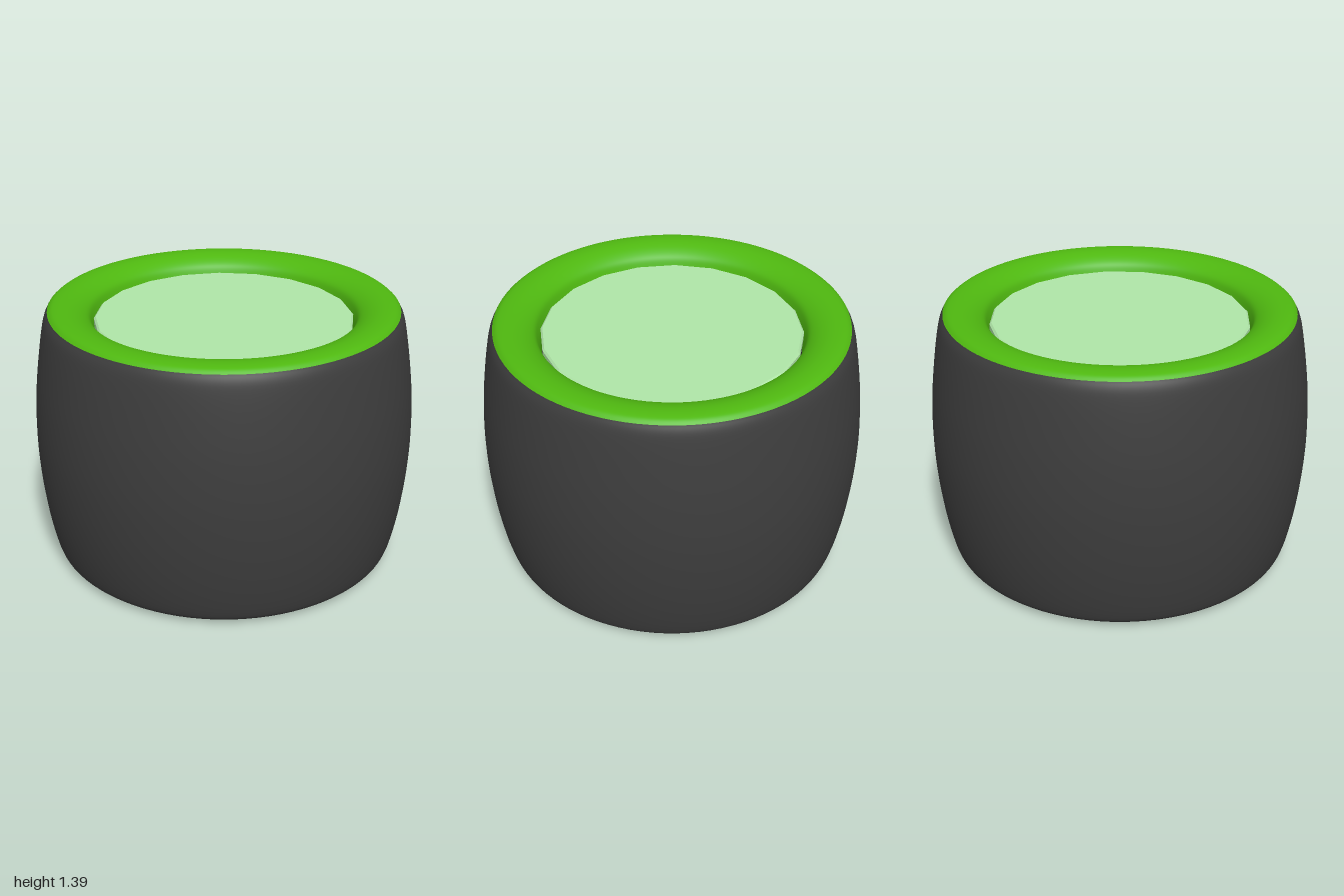
import * as THREE from 'three';

const SEGMENTS = 96;

// Smooth lathe through a few [radius, height] profile points.
function turned(name, points, samples, color) {
  const curve = new THREE.SplineCurve(points.map(([r, y]) => new THREE.Vector2(r, y)));
  const mesh = new THREE.Mesh(
    new THREE.LatheGeometry(curve.getPoints(samples), SEGMENTS),
    new THREE.MeshStandardMaterial({ color, side: THREE.DoubleSide })
  );
  mesh.name = name;
  return mesh;
}

export function createModel() {
  const model = new THREE.Group();
  model.name = 'barrelRoller';

  const dark = 0x3d3d3d;
  const green = 0x4fb810;

  // Bulging outer shell with a rounded bottom edge
  model.add(turned('outerShell', [
    [0.67, 0], [0.76, 0], [0.84, 0.005], [0.9, 0.025], [0.93, 0.08],
    [0.965, 0.25], [0.99, 0.46], [1, 0.69], [0.99, 0.92], [0.965, 1.13],
    [0.935, 1.3], [0.91, 1.36],
  ], 72, dark));

  // Straight wall of the open core
  model.add(turned('innerWall', [[0.67, 1.2], [0.67, 0]], 1, dark));

  // Rounded rim rolling over into the core
  model.add(turned('rim', [
    [0.91, 1.36], [0.885, 1.378], [0.84, 1.385], [0.79, 1.381],
    [0.74, 1.364], [0.7, 1.335], [0.682, 1.295], [0.672, 1.25], [0.67, 1.2],
  ], 40, green));

  // Faceted lid sitting just inside the rim, with a small bevelled edge
  const lidProfile = [[0, 1.25], [0.675, 1.25], [0.675, 1.295], [0.665, 1.305], [0, 1.305]]
    .map(([r, y]) => new THREE.Vector2(r, y));
  const lid = new THREE.Mesh(
    new THREE.LatheGeometry(lidProfile, 20),
    new THREE.MeshStandardMaterial({ color: 0xb0e6a8, flatShading: true })
  );
  lid.name = 'lid';
  model.add(lid);

  return model;
}
